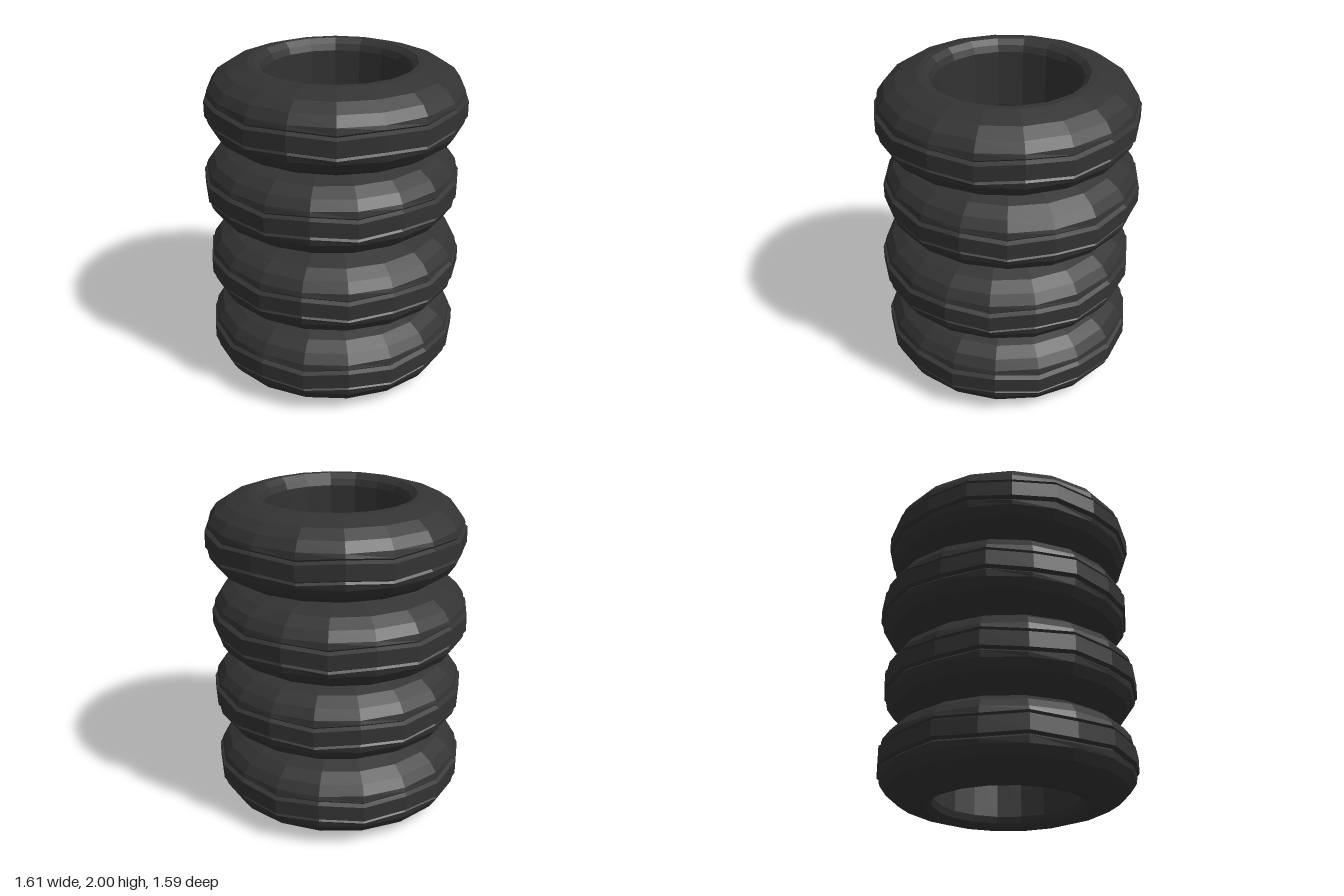
import * as THREE from 'three';

const SIDES = 18;
const HEIGHT = 0.5;

// Half of the cross-section [radius, height, zigzag weight], inner wall to tread centre
const HALF = [
  [0.44, 0.07, 0], [0.455, 0.03, 0], [0.49, 0, 0],                    // bead lip
  [0.53, 0, 0], [0.655, 0.04, 0], [0.728, 0.088, 0], [0.768, 0.145, 0], // sidewall and shoulder
  [0.776, 0.178, 1], [0.764, 0.19, 1], [0.79, 0.203, 1],              // zigzag groove
];

function tireGeometry(phase, parity) {
  // Mirror the half section top to bottom and close the loop on the inner wall
  const section = [
    ...HALF,
    ...HALF.slice().reverse().map(([r, y, w]) => [r, HEIGHT - y, w]),
    HALF[0],
  ];
  const points = section.map(([r, y]) => new THREE.Vector2(r, y));
  const start = THREE.MathUtils.degToRad(phase + 90);
  const geometry = new THREE.LatheGeometry(points, SIDES, start, Math.PI * 2);

  // Shift groove vertices up and down on alternate columns
  const pos = geometry.attributes.position;
  for (let i = 0; i < pos.count; i++) {
    const column = Math.floor(i / section.length);
    const weight = section[i % section.length][2];
    const sign = (column + parity) % 2 ? -1 : 1;
    pos.setY(i, pos.getY(i) + 0.009 * weight * sign);
  }
  const flat = geometry.toNonIndexed();
  flat.computeVertexNormals();
  return flat;
}

export function createModel() {
  const group = new THREE.Group();
  group.name = 'tireStack';

  const rubber = new THREE.MeshStandardMaterial({ color: 0x333333, flatShading: true });
  rubber.name = 'black rubber';

  // Slightly misaligned tires, bottom to top: x, z, turn in degrees, zigzag parity
  const tires = [
    [-0.005, 0.008, 1, 1],
    [0.01, 0.016, 0, 0],
    [-0.018, -0.01, 5, 0],
    [0.015, 0.002, 14, 1],
  ];
  tires.forEach(([x, z, turn, parity], i) => {
    const tire = new THREE.Mesh(tireGeometry(turn, parity), rubber);
    tire.name = `tire${i + 1}`;
    tire.position.set(x, i * HEIGHT, z);
    group.add(tire);
  });
  return group;
}
